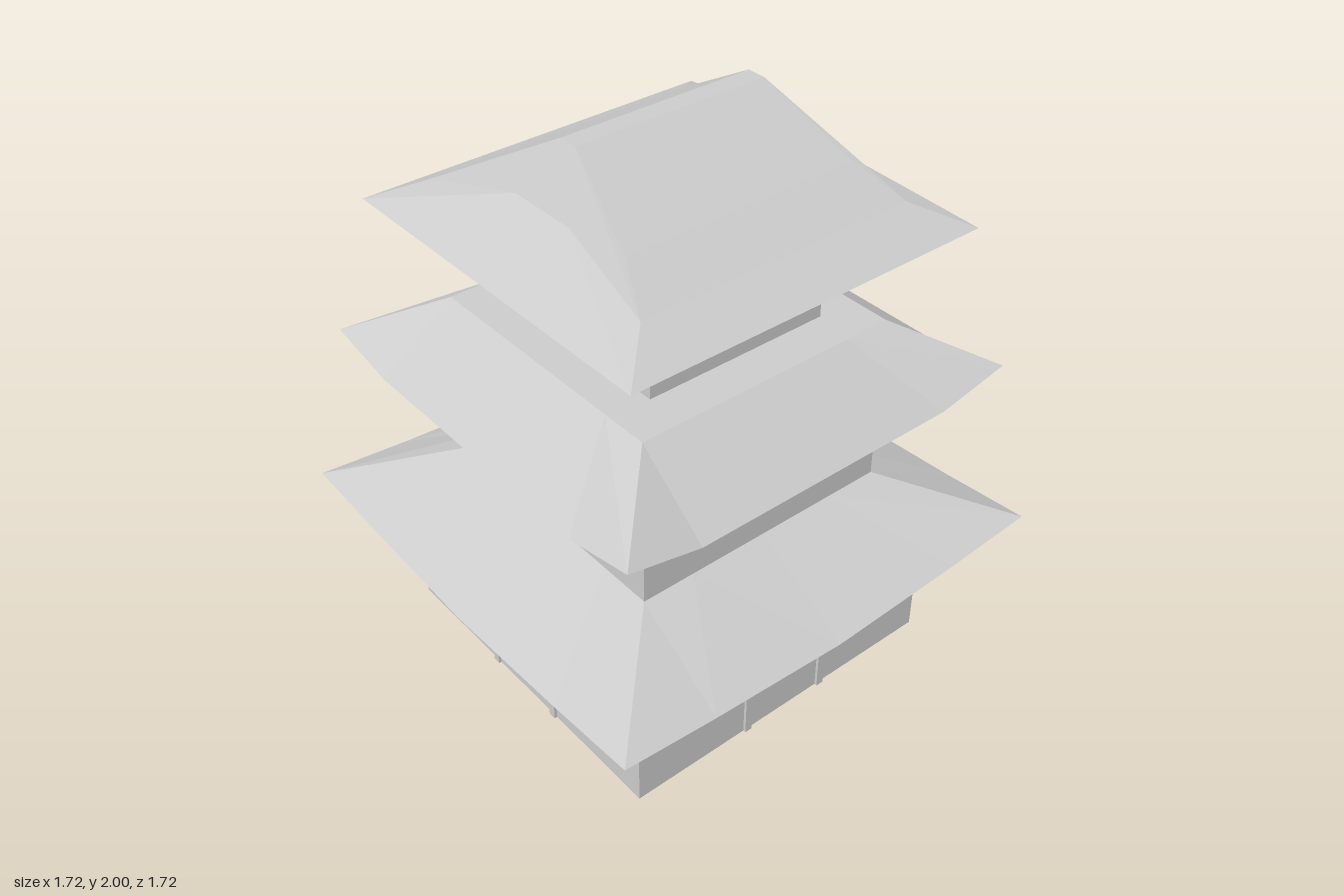
import * as THREE from 'three';

const mat = new THREE.MeshStandardMaterial({ color: 0xcccccc, flatShading: true, side: THREE.DoubleSide });

function add(parent, geometry, name, x = 0, y = 0, z = 0) {
  const mesh = new THREE.Mesh(geometry, mat);
  mesh.name = name;
  mesh.position.set(x, y, z);
  parent.add(mesh);
  return mesh;
}

// Skin a list of rows of points (ordered top to bottom, each running left to right)
function skin(rows) {
  const pos = [];
  for (let r = 0; r < rows.length - 1; r++) {
    for (let c = 0; c < rows[r].length - 1; c++) {
      const [a, b, d, e] = [rows[r][c], rows[r + 1][c], rows[r + 1][c + 1], rows[r][c + 1]];
      pos.push(...a, ...b, ...d, ...a, ...d, ...e);
    }
  }
  const g = new THREE.BufferGeometry();
  g.setAttribute('position', new THREE.Float32BufferAttribute(pos, 3));
  g.computeVertexNormals();
  return g;
}

// One quarter of a square roof: rings are [half size, height, corner lift]
function roofRows(rings, columns, lift) {
  return rings.map(([h, y, rise = 0]) => columns.map((u, i) => [u * h, y + rise * lift[i], h]));
}

// Run a builder for the four sides of the tower
function fourSides(parent, name, build) {
  for (let i = 0; i < 4; i++) {
    const side = new THREE.Group();
    side.name = name;
    side.rotation.y = i * Math.PI / 2;
    build(side, i);
    parent.add(side);
  }
}

function rectangle(PathType, x, y, w, h) {
  return new PathType([[-1, -1], [1, -1], [1, 1], [-1, 1]]
    .map(([a, b]) => new THREE.Vector2(x + a * w / 2, y + b * h / 2)));
}

// Wall with recessed, framed windows
function wall(parent, half, y0, y1, windows, w, h, wy, rim, out) {
  const depth = 0.03;
  const shape = rectangle(THREE.Shape, 0, (y0 + y1) / 2, half * 2, y1 - y0);
  for (const x of windows) {
    const iw = w - rim * 2, ih = h - rim * 2;
    shape.holes.push(rectangle(THREE.Path, x, wy, iw, ih));
    const frame = rectangle(THREE.Shape, 0, 0, w, h);
    frame.holes.push(rectangle(THREE.Path, 0, 0, iw, ih));
    add(parent, new THREE.ExtrudeGeometry(frame, { depth: depth + out, bevelEnabled: false }),
      'windowFrame', x, wy, half - depth);
    add(parent, new THREE.PlaneGeometry(iw, ih), 'windowPane', x, wy, half - depth);
  }
  add(parent, new THREE.ShapeGeometry(shape), 'wall', 0, 0, half);
}

export function createModel() {
  const tower = new THREE.Group();
  tower.name = 'tower';

  // Ground floor with paired posts on each side
  add(tower, new THREE.BoxGeometry(1.25, 0.43, 1.25), 'groundFloor', 0, 0.215, 0);
  fourSides(tower, 'groundFloorPosts', side => {
    for (const s of [-1, 1]) add(side, new THREE.BoxGeometry(0.028, 0.43, 0.02), 'post', s * 0.165, 0.215, 0.625);
  });

  // Lower roof, eaves curving up to the corners
  fourSides(tower, 'lowerRoof', side => add(side, skin(roofRows(
    [[0.49, 0.685], [0.86, 0.475, 0.055], [0.79, 0.437], [0.62, 0.425]],
    [-1, -0.6, 0, 0.6, 1], [1, 0.5, 0, 0.5, 1])), 'lowerRoofSlope'));

  // Middle floor
  fourSides(tower, 'middleFloor', side =>
    wall(side, 0.49, 0.66, 1.07, [-0.285, 0.285], 0.19, 0.12, 0.895, 0.011, 0.013));

  // Middle roof, eaves level in the centre and lifted at the corners
  fourSides(tower, 'middleRoof', side => add(side, skin(roofRows(
    [[0.345, 1.3], [0.49, 1.3], [0.76, 1.095, 0.055], [0.615, 1.055], [0.48, 1.055]],
    [-1, -0.65, 0.65, 1], [1, 0, 0, 1])), 'middleRoofSlope'));

  // Top floor, windows on front and back only
  fourSides(tower, 'topFloor', (side, i) =>
    wall(side, 0.345, 1.28, 1.62, i % 2 ? [] : [-0.088, 0.088], 0.15, 0.1, 1.472, 0.01, 0.02));

  // Top roof: hip line from ridge to corner as [x, y, z]
  const hip = [[0.035, 2, 0.355], [0.35, 1.82, 0.43], [0.51, 1.725, 0.507], [0.665, 1.645, 0.665]];
  const flip = ([x, y, z]) => [-x, y, z];
  const centre = [[0.035, 2, 0.355], [0.13, 1.82, 0.455], [0.24, 1.645, 0.665]];
  for (const turn of [0, Math.PI]) {
    const half = new THREE.Group();
    half.name = 'topRoof';
    half.rotation.y = turn;
    tower.add(half);
    // Long slope
    add(half, skin(hip.map(([x, y, z]) => [[x, y, z], [x, y, -z]])), 'longSlope');
    // End slope: centre panel, steep upper facets, shallow lower facets
    add(half, skin(centre.map(p => [flip(p), p])), 'endPanel');
    const facets = [
      [centre[0], hip[2], hip[1]], [centre[0], centre[1], hip[2]],
      [centre[1], hip[3], hip[2]], [centre[1], centre[2], hip[3]],
    ];
    for (const [a, b, c] of facets) {
      add(half, skin([[a, a], [b, c]]), 'endFacet');
      add(half, skin([[flip(a), flip(a)], [flip(c), flip(b)]]), 'endFacet');
    }
  }
  const ridge = add(tower, new THREE.PlaneGeometry(0.07, 0.71), 'ridge', 0, 2, 0);
  ridge.rotation.x = -Math.PI / 2;
  fourSides(tower, 'topRoofUnderside', side => add(side, skin(roofRows(
    [[0.665, 1.645], [0.485, 1.61], [0.34, 1.61]], [-1, 1], [0, 0])), 'topRoofEave'));

  return tower;
}
